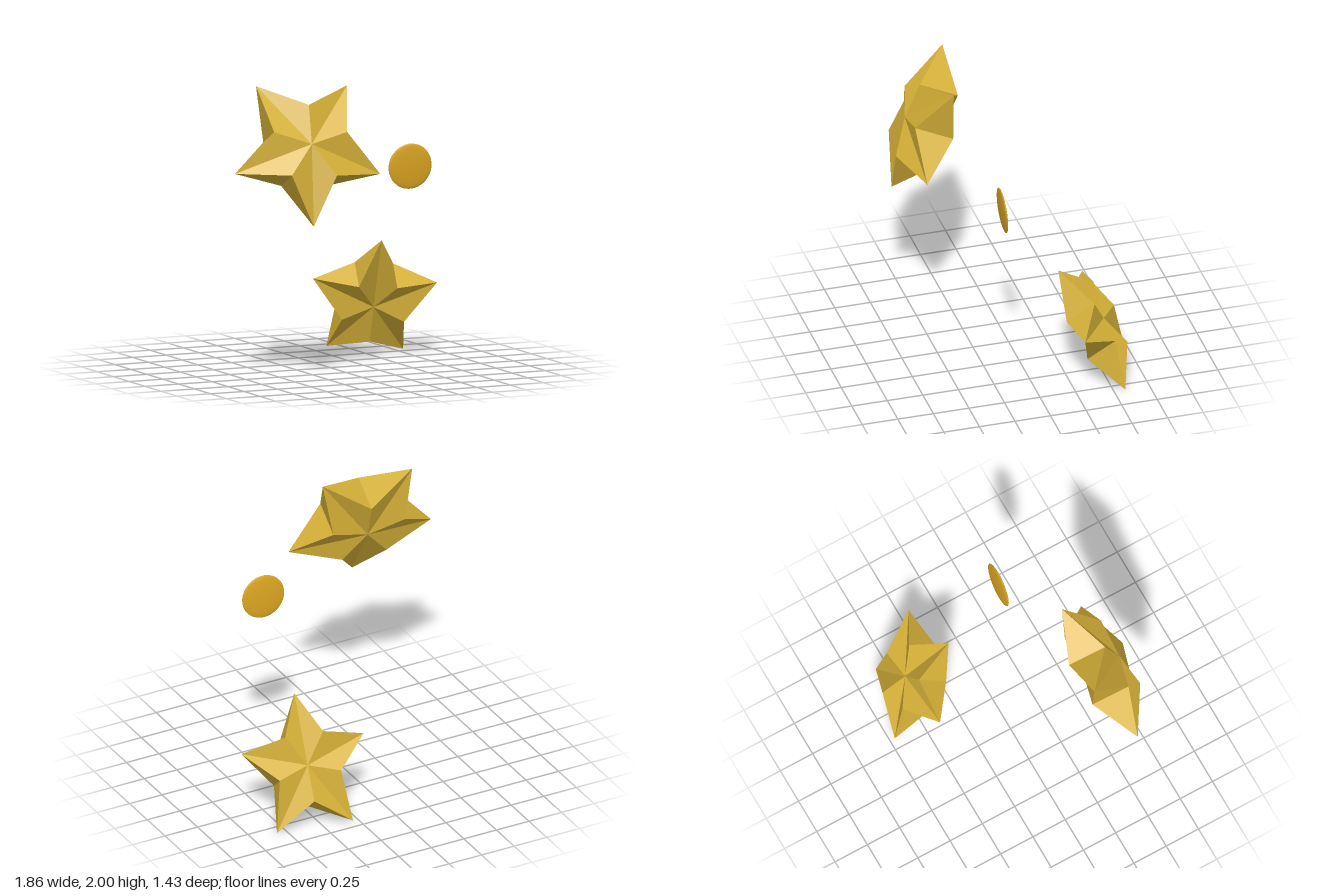
import * as THREE from 'three';

const V = (p) => new THREE.Vector3(...p);

// Faceted star: sharp tips, thick inner corners, and a hub point on each side.
// Tips run clockwise as seen from the front; half is the offset to the front side.
function starGeometry(tipPoints, half, hubRatio) {
  const tips = tipPoints.map(V);
  const n = tips.length;
  const center = tips.reduce((s, t) => s.add(t), new THREE.Vector3()).divideScalar(n);
  const offset = V(half);
  const hubFront = center.clone().addScaledVector(offset, hubRatio);
  const hubBack = center.clone().addScaledVector(offset, -hubRatio);
  const pos = [];
  const tri = (...pts) => pts.forEach((p) => pos.push(p.x, p.y, p.z));

  for (let i = 0; i < n; i++) {
    const a = tips[i];
    const b = tips[(i + 1) % n];
    // inner corner sits at half the tip radius, between two tips
    const inner = center.clone().lerp(a.clone().lerp(b, 0.5), 0.618);
    const front = inner.clone().add(offset);
    const back = inner.clone().sub(offset);
    tri(hubFront, front, a);
    tri(hubFront, b, front);
    tri(hubBack, a, back);
    tri(hubBack, back, b);
    tri(a, front, back);
    tri(b, back, front);
  }
  const g = new THREE.BufferGeometry();
  g.setAttribute('position', new THREE.Float32BufferAttribute(pos, 3));
  g.computeVertexNormals();
  return g;
}

export function createModel() {
  const model = new THREE.Group();
  const gold = new THREE.MeshStandardMaterial({ color: 0xd4af37, flatShading: true });
  const amber = new THREE.MeshStandardMaterial({ color: 0xdaa520 });

  const add = (name, geometry, material) => {
    const mesh = new THREE.Mesh(geometry, material);
    mesh.name = name;
    model.add(mesh);
    return mesh;
  };

  // Upper star
  add('upperStar', starGeometry([
    [-0.68, 2.0, 0.265], [-0.05, 1.98, 0.37], [0.09, 1.397, 0.597],
    [-0.45, 1.083, 0.69], [-0.93, 1.443, 0.46],
  ], [-0.02, 0.053, 0.128], 1), gold);

  // Lower star
  add('lowerStar', starGeometry([
    [0.483, 0.813, -0.207], [0.925, 0.49, -0.267], [0.82, 0.003, -0.58],
    [0.313, 0.035, -0.72], [0.103, 0.538, -0.487],
  ], [-0.0265, -0.0715, 0.09], 0.62), gold);

  // Thin rounded disc
  const disc = add('disc', new THREE.SphereGeometry(1, 32, 24), amber);
  disc.scale.set(0.156, 0.156, 0.015);
  disc.position.set(0.505, 1.37, 0.192);
  disc.quaternion.setFromUnitVectors(V([0, 0, 1]), V([-0.065, -0.068, 1]).normalize());

  return model;
}
